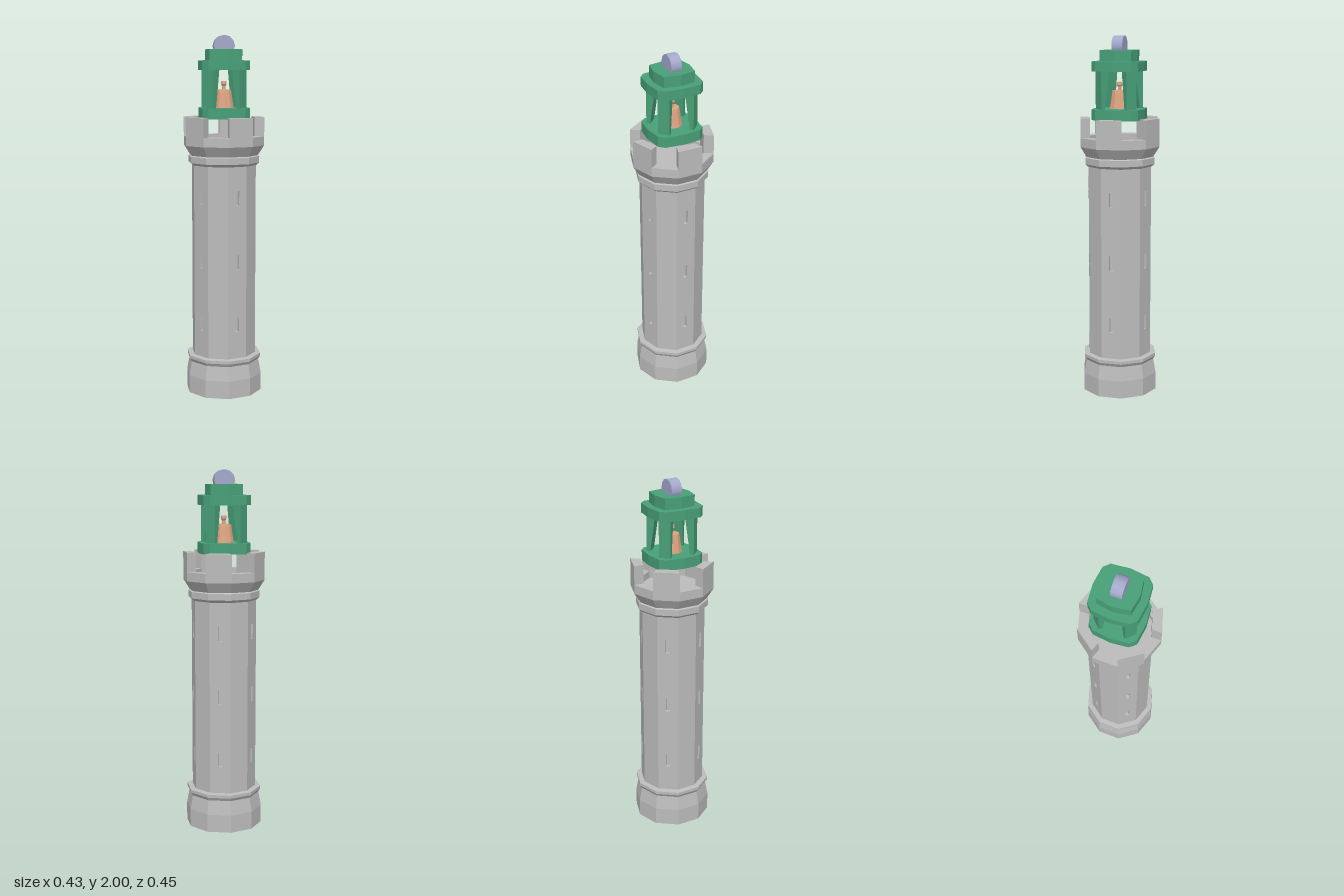
import * as THREE from 'three';

const SIDES = 10;
const STEP = (Math.PI * 2) / SIDES;

const mat = (name, color) => {
  const m = new THREE.MeshStandardMaterial({ color });
  m.name = name;
  return m;
};

// give every face its own normal
function flat(geometry) {
  const g = geometry.index ? geometry.toNonIndexed() : geometry;
  g.computeVertexNormals();
  return g;
}

function lathe(points, sides) {
  return flat(new THREE.LatheGeometry(points.map(([r, y]) => new THREE.Vector2(r, y)), sides));
}

// upright prism from a plan outline of [x, z] points
function prism(plan, y0, y1) {
  const shape = new THREE.Shape(plan.map(([x, z]) => new THREE.Vector2(x, -z)));
  const g = new THREE.ExtrudeGeometry(shape, { depth: y1 - y0, bevelEnabled: false });
  g.rotateX(-Math.PI / 2);
  g.translate(0, y0, 0);
  return g;
}

// repeat one quarter of a plan outline around the centre
function fourfold(quarter) {
  const plan = [];
  for (let k = 0; k < 4; k++) {
    const c = Math.cos(k * Math.PI / 2), s = Math.sin(k * Math.PI / 2);
    for (const [x, z] of quarter) plan.push([x * c - z * s, x * s + z * c]);
  }
  return plan;
}

export function createModel() {
  const stone = mat('stone grey', 0xbcbcbc);
  const green = mat('lantern green', 0x48a078);
  const copper = mat('bell copper', 0xdfa583);
  const lavender = mat('finial lavender', 0xa5a9cc);

  const model = new THREE.Group();
  model.name = 'bellTower';
  const add = (name, geometry, material, parent = model) => {
    const mesh = new THREE.Mesh(geometry, material);
    mesh.name = name;
    parent.add(mesh);
    return mesh;
  };

  // plinth with a small moulding
  add('base', lathe([[0, 0], [0.215, 0], [0.215, 0.1], [0.2, 0.18],
    [0.211, 0.198], [0.211, 0.215], [0.17, 0.22]], SIDES), stone);

  // shaft: wall panels around a core, every other one pierced by slit windows
  const shaft = new THREE.Group();
  shaft.name = 'shaft';
  model.add(shaft);
  const R = 0.181, y0 = 0.2, y1 = 1.3, recess = 0.02;
  const apothem = R * Math.cos(STEP / 2), half = R * Math.sin(STEP / 2);
  const panel = (pierced) => {
    const wall = new THREE.Shape();
    wall.moveTo(-half, y0).lineTo(half, y0).lineTo(half, y1).lineTo(-half, y1).closePath();
    if (pierced) {
      for (const y of [0.41, 0.765, 1.12]) {
        const slit = new THREE.Path();
        slit.moveTo(-0.011, y - 0.041).lineTo(-0.011, y + 0.041)
          .lineTo(0.011, y + 0.041).lineTo(0.011, y - 0.041).closePath();
        wall.holes.push(slit);
      }
    }
    const g = new THREE.ExtrudeGeometry(wall, { depth: recess, bevelEnabled: false });
    g.translate(0, 0, apothem - recess);
    return g;
  };
  const pierced = panel(true), plain = panel(false);
  for (let k = 0; k < SIDES; k++) {
    const isPierced = k % 2 === 0;
    add(isPierced ? 'windowWall' : 'plainWall', isPierced ? pierced : plain, stone, shaft)
      .rotation.y = (k + 0.5) * STEP;
  }
  const coreR = (apothem - recess) / Math.cos(STEP / 2);
  add('core', flat(new THREE.CylinderGeometry(coreR, coreR, y1 - y0, SIDES)), stone, shaft)
    .position.y = (y0 + y1) / 2;

  // cornice flaring out into the hollow parapet
  add('parapet', lathe([[0.17, 1.29], [0.185, 1.291], [0.2, 1.305], [0.2, 1.34],
    [0.192, 1.345], [0.227, 1.4], [0.227, 1.45], [0.172, 1.45], [0.172, 1.41], [0, 1.41]], SIDES), stone);

  // merlons on alternate sides
  const at = (r, a) => [r * Math.sin(a), r * Math.cos(a)];
  for (let k = 0; k < SIDES; k += 2) {
    const a = k * STEP, b = a + STEP;
    add('merlon', prism([at(0.227, a), at(0.227, b), at(0.172, b), at(0.172, a)], 1.45, 1.555), stone);
  }

  // lantern: two rounded square plates, corner posts and a stepped cap
  const lantern = new THREE.Group();
  lantern.name = 'lantern';
  model.add(lantern);
  const plate = fourfold([[0.141, 0], [0.13, 0.1], [0.1, 0.13]]);
  add('lanternFloor', prism(plate, 1.547, 1.605), green, lantern);
  add('lanternRoof', prism(plate, 1.81, 1.862), green, lantern);
  add('roofCap', prism(fourfold([[0.103, 0], [0.088, 0.088]]), 1.862, 1.922), green, lantern);

  // posts deepen inwards towards the roof
  const post = new THREE.BoxGeometry(0.064, 0.205, 1);
  const p = post.attributes.position;
  for (let i = 0; i < p.count; i++) {
    p.setZ(i, p.getZ(i) > 0 ? 0.131 : p.getY(i) > 0 ? 0.081 : 0.11);
  }
  const postGeometry = flat(post);
  for (let k = 0; k < 4; k++) {
    const m = add('cornerPost', postGeometry, green, lantern);
    m.position.y = 1.7075;
    m.rotation.y = Math.PI / 4 + k * Math.PI / 2;
  }

  // bell with its hanging stem
  add('bell', lathe([[0, 1.605], [0.056, 1.605], [0.05, 1.64], [0.043, 1.69], [0.04, 1.705],
    [0.01, 1.706], [0.01, 1.725], [0.016, 1.735], [0.014, 1.75], [0, 1.75]], 10), copper);

  // round finial standing on edge
  const finial = new THREE.CylinderGeometry(0.058, 0.058, 0.06, 12);
  finial.rotateX(Math.PI / 2);
  add('finial', finial, lavender).position.y = 1.942;

  return model;
}
